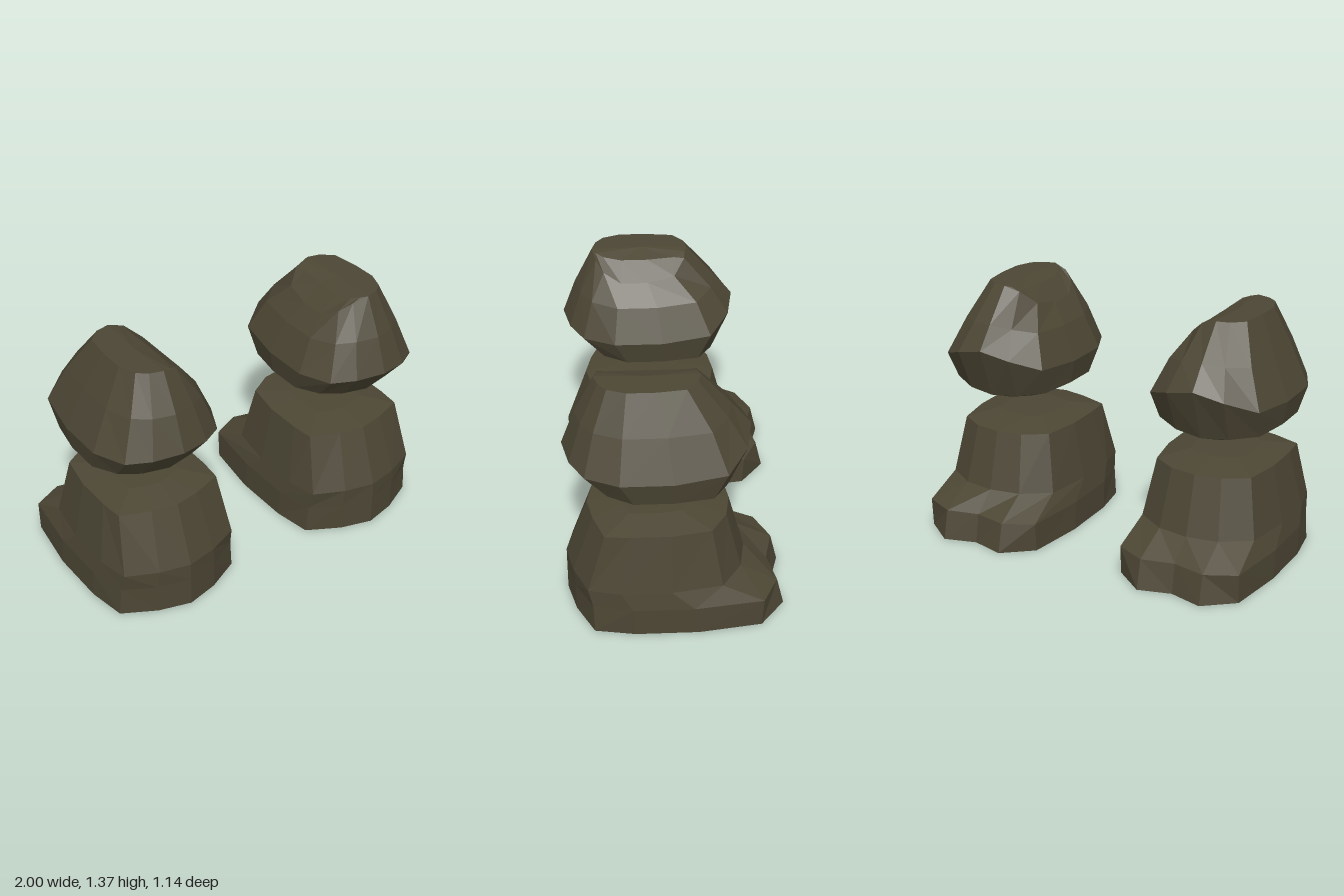
import * as THREE from 'three';

const olive = new THREE.MeshStandardMaterial({ color: 0x4c4634, flatShading: true });
olive.name = 'dark olive';

// One 14-point cross-section, rounded at the front and chamfered at the back.
// out/inn: reach to either side, z0/z1: back and front, y with yBack/yFront at the ends,
// shoulder: relative width at the front corners, corner: z of the back corners,
// notch: dent in the back, drop: how far the inner side sags.
function section({ out, inn = out, z0, z1, y, yBack = y, yFront = y,
  shoulder = 0.78, corner = z0 + 0.14 * (z1 - z0), notch = 0, drop = 0 }) {
  const at = (t) => z0 + t * (z1 - z0);
  const mix = THREE.MathUtils.lerp;
  const half = [
    [0, yBack, z0 + notch],
    [0.46, mix(y, yBack, 0.66), at(0.03)],
    [0.88, mix(y, yBack, 0.16), corner],
    [1, y, at(0.42)],
    [1, y, at(0.7)],
    [shoulder, y, at(0.88)],
    [0.45, mix(y, yFront, 0.6), at(0.96)],
    [0, yFront, z1],
  ];
  const outer = half.map(([u, h, z]) => [u * out, h, z]);
  const inner = half.slice(1, -1).reverse().map(([u, h, z]) => [-u * inn, h - drop * u * u, z]);
  return [...outer, ...inner];
}

// Closed loft through cross-sections, with a fan at both ends
function loft(rows, bottom, top, side, centre) {
  const rings = rows.map(section);
  const n = rings[0].length;
  const pos = [...rings.flat(), bottom, top].flatMap(([u, y, z]) => [side * (centre + u), y, z]);
  const index = [];
  const tri = (a, b, c) => (side > 0 ? index.push(a, b, c) : index.push(a, c, b));
  const last = (rings.length - 1) * n;
  const lowCap = rings.length * n;
  for (let j = 0; j < n; j++) {
    const k = (j + 1) % n;
    for (let i = 0; i < rings.length - 1; i++) {
      const a = i * n + j, b = i * n + k;
      tri(a, a + n, b);
      tri(b, a + n, b + n);
    }
    tri(lowCap, j, k);
    tri(lowCap + 1, last + k, last + j);
  }
  const g = new THREE.BufferGeometry();
  g.setAttribute('position', new THREE.Float32BufferAttribute(pos, 3));
  g.setIndex(index);
  g.computeVertexNormals();
  return new THREE.Mesh(g, olive);
}

// Lower block with the two-lobed ledge at the back
const bootRows = [
  { y: 0, out: 0.39, z0: -0.605, z1: 0.57, shoulder: 0.91, notch: 0.085 },
  { y: 0.16, out: 0.39, z0: -0.565, z1: 0.57, shoulder: 0.88, corner: -0.45, notch: 0.075 },
  { y: 0.26, out: 0.372, z0: -0.365, z1: 0.57, shoulder: 0.9 },
  { y: 0.58, out: 0.31, z0: -0.28, z1: 0.455, shoulder: 0.96 },
  { y: 0.613, out: 0.16, z0: -0.08, z1: 0.28, shoulder: 0.95 },
];

// Upper block, steep outside and rounded off on the inside
const padRows = [
  { y: 0.772, out: 0.19, z0: -0.23, z1: 0.37 },
  { y: 0.825, yBack: 0.79, yFront: 0.81, out: 0.325, z0: -0.28, z1: 0.43 },
  { y: 0.955, yBack: 1.07, yFront: 0.98, out: 0.35, z0: -0.38, z1: 0.57 },
  { y: 1.17, yBack: 1.19, out: 0.255, inn: 0.27, z0: -0.28, z1: 0.5, drop: 0.03 },
  { y: 1.37, out: 0.157, inn: 0.185, z0: -0.125, z1: 0.4, drop: 0.12 },
  { y: 1.37, out: 0.157, inn: 0.085, z0: -0.125, z1: 0.4, drop: 0.03 },
];

export function createModel() {
  const model = new THREE.Group();
  for (const side of [1, -1]) {
    const name = side > 0 ? 'left' : 'right';
    const boot = loft(bootRows, [0, 0, 0], [0, 0.613, 0.1], side, 0.608);
    boot.name = name + 'Boot';
    const pad = loft(padRows, [0, 0.745, 0.03], [0.01, 1.37, 0.13], side, 0.635);
    pad.name = name + 'KneePad';
    model.add(boot, pad);
  }
  return model;
}
